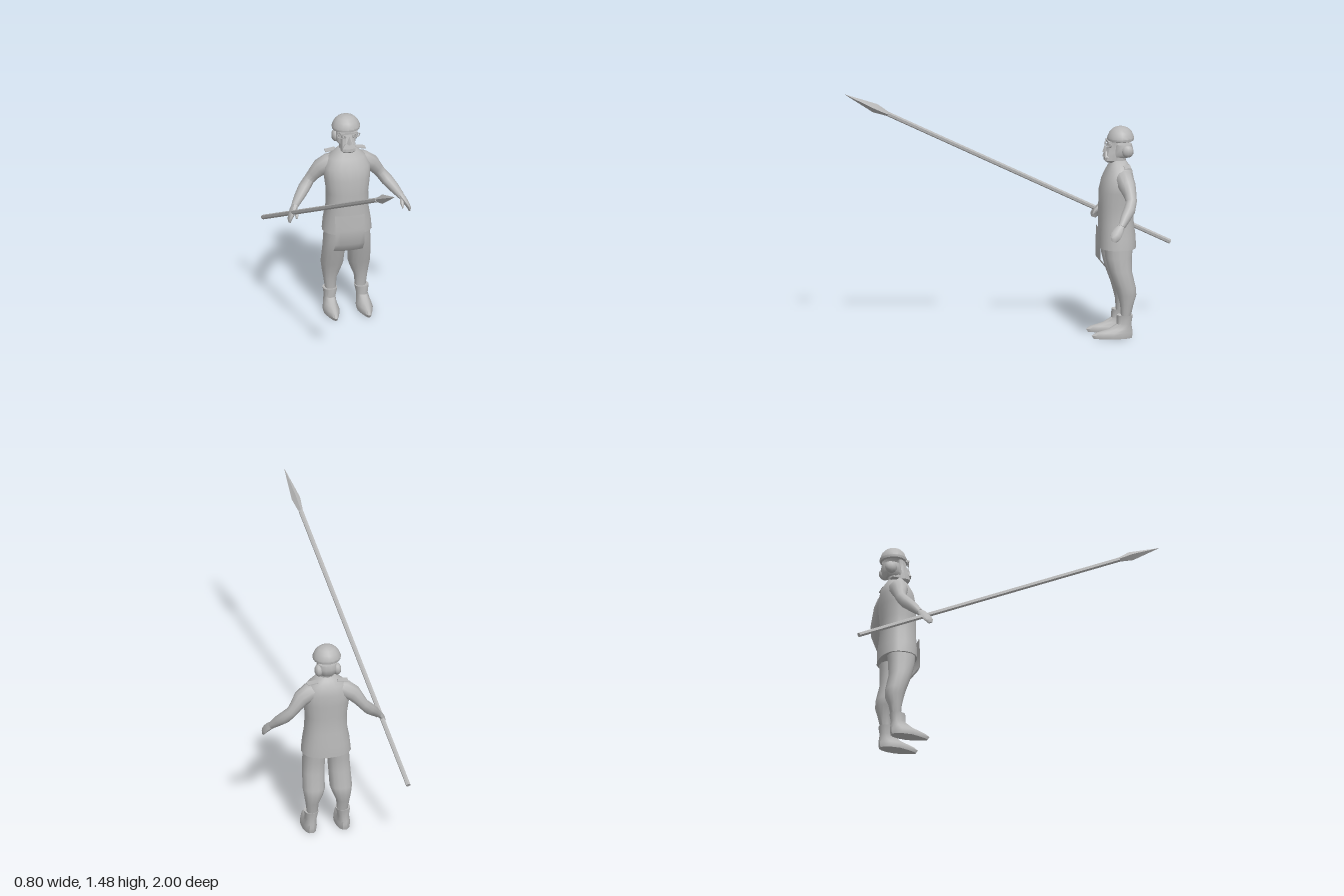
import * as THREE from 'three';
import { toCreasedNormals } from 'three/addons/utils/BufferGeometryUtils.js';

const grey = new THREE.MeshStandardMaterial({ color: 0xb8b8b8, side: THREE.DoubleSide });
grey.name = 'plain grey';
const V = (x, y, z) => new THREE.Vector3(x, y, z);

// Skin over a stack of rings, closed at chosen ends
function loft(rings, { bottom = true, top = true, crease = 0.8 } = {}) {
  const n = rings[0].length, pos = [], idx = [];
  rings.forEach(r => r.forEach(p => pos.push(p.x, p.y, p.z)));
  for (let i = 0; i < rings.length - 1; i++) {
    for (let j = 0; j < n; j++) {
      const a = i * n + j, b = i * n + (j + 1) % n;
      idx.push(a, a + n, b, b, a + n, b + n);
    }
  }
  const cap = (k, flip) => {
    const c = rings[k].reduce((s, p) => s.add(p), V(0, 0, 0)).divideScalar(n);
    const m = pos.length / 3;
    pos.push(c.x, c.y, c.z);
    for (let j = 0; j < n; j++) {
      const a = k * n + j, b = k * n + (j + 1) % n;
      idx.push(m, flip ? b : a, flip ? a : b);
    }
  };
  if (bottom) cap(0, false);
  if (top) cap(rings.length - 1, true);
  const g = new THREE.BufferGeometry();
  g.setAttribute('position', new THREE.Float32BufferAttribute(pos, 3));
  g.setIndex(idx);
  return toCreasedNormals(g, crease);
}

// Level ring: centre x, half width, height, back z, front z; point narrows the front
function level([cx, hw, y, z0, z1], { n = 16, power = 0.85, point = 0 } = {}) {
  const bend = t => Math.sign(t) * Math.abs(t) ** power;
  return Array.from({ length: n }, (_, j) => {
    const a = j / n * Math.PI * 2, s = bend(Math.sin(a));
    const narrow = 1 - point * Math.max(0, s);
    return V(cx + hw * bend(Math.cos(a)) * narrow, y, (z0 + z1) / 2 + s * (z1 - z0) / 2);
  });
}

// Rings square to a path of [x, y, z, radius, flatness]
function along(path, n = 10) {
  const pts = path.map(p => V(p[0], p[1], p[2]));
  return pts.map((p, i) => {
    const d = pts[Math.min(i + 1, pts.length - 1)].clone().sub(pts[Math.max(i - 1, 0)]).normalize();
    const u = d.clone().cross(V(0, 0, 1)).normalize(), v = u.clone().cross(d);
    const [, , , r, flat = 1] = path[i];
    return Array.from({ length: n }, (_, j) => {
      const a = j / n * Math.PI * 2;
      return p.clone().addScaledVector(u, r * flat * Math.cos(a)).addScaledVector(v, r * Math.sin(a));
    });
  });
}

export function createModel() {
  const model = new THREE.Group();
  model.name = 'spearman';
  const body = new THREE.Group();
  body.name = 'man';
  body.position.x = 0.028;
  model.add(body);
  const add = (name, geo, parent = body) => {
    const m = new THREE.Mesh(geo, grey);
    m.name = name;
    parent.add(m);
    return m;
  };

  // Tunic with a flared hem
  add('tunic', loft([
    [0, 0.148, 0.53, -0.717, -0.497], [0, 0.141, 0.6, -0.715, -0.497],
    [0, 0.127, 0.68, -0.705, -0.5], [0, 0.125, 0.78, -0.7, -0.5],
    [0, 0.137, 0.87, -0.707, -0.503], [0, 0.14, 0.94, -0.705, -0.52],
    [0, 0.112, 0.995, -0.695, -0.545], [0, 0.07, 1.03, -0.672, -0.562],
    [0, 0.045, 1.05, -0.66, -0.57],
  ].map(r => level(r, { n: 20 }))));

  // Hanging front cloth that folds back at its lower edge
  const cloth = new THREE.PlaneGeometry(0.176, 1, 6, 3);
  const drop = [[0.655, -0.492], [0.56, -0.487], [0.47, -0.487], [0.41, -0.535]];
  const cp = cloth.attributes.position;
  for (let i = 0; i < cp.count; i++) {
    const [y, z] = drop[Math.floor(i / 7)], x = cp.getX(i);
    cp.setXYZ(i, x - 0.006, y, z - x * x * 1.2);
  }
  cloth.computeVertexNormals();
  add('frontCloth', cloth);

  // Limbs, mirrored side to side
  for (const [side, s] of [['left', 1], ['right', -1]]) {
    const flip = path => path.map(([x, ...rest]) => [s * x, ...rest]);
    add(side + 'Arm', loft(along(flip([
      [0.05, 0.962, -0.63, 0.052], [0.105, 0.948, -0.635, 0.056], [0.155, 0.917, -0.645, 0.05],
      [0.19, 0.873, -0.655, 0.038], [0.215, 0.84, -0.658, 0.033], [0.25, 0.797, -0.64, 0.036],
      [0.285, 0.757, -0.61, 0.031], [0.321, 0.712, -0.58, 0.021],
    ]))));
    add(side + 'Hand', loft(along(flip([
      [0.314, 0.72, -0.585, 0.02], [0.333, 0.697, -0.565, 0.03, 0.6], [0.35, 0.67, -0.545, 0.032, 0.45],
      [0.36, 0.65, -0.535, 0.027, 0.4], [0.362, 0.633, -0.53, 0.014, 0.45],
    ]), 8)));
    add(side + 'Thumb', loft(along(flip([
      [0.322, 0.705, -0.56, 0.012], [0.318, 0.68, -0.535, 0.012], [0.321, 0.658, -0.52, 0.006],
    ]), 6)));
    // Thin collar plate lying on the shoulder
    const plate = add(side + 'CollarPlate', new THREE.BoxGeometry(0.065, 0.005, 0.04));
    plate.position.set(s * 0.09, 1.022, -0.655);
    plate.rotation.z = -s * 0.15;

    add(side + 'Leg', loft([
      [0.07, 0.065, 0.12, -0.675, -0.615], [0.09, 0.032, 0.13, -0.675, -0.617],
      [0.092, 0.04, 0.2, -0.69, -0.612], [0.085, 0.056, 0.255, -0.708, -0.598],
      [0.081, 0.067, 0.3, -0.705, -0.585], [0.078, 0.066, 0.4, -0.682, -0.548],
      [0.073, 0.066, 0.48, -0.684, -0.527], [0.068, 0.067, 0.56, -0.69, -0.52],
    ].slice(1).map(([x, ...r]) => level([s * x, ...r], { n: 14 }))));

    // Boot with a pointed toe and open cuff
    add(side + 'Boot', loft([
      [0.1, 0.044, 0, -0.68, -0.45, 0.55], [0.1, 0.047, 0.018, -0.684, -0.438, 0.6],
      [0.1, 0.043, 0.035, -0.684, -0.465, 0.55], [0.1, 0.038, 0.055, -0.682, -0.54, 0.3],
      [0.097, 0.034, 0.085, -0.677, -0.59, 0.1], [0.095, 0.043, 0.137, -0.685, -0.592, 0],
      [0.093, 0.031, 0.133, -0.673, -0.605, 0],
    ].map(([x, hw, y, a, b, point]) => level([s * x, hw, y, a, b], { n: 14, point }))));

    // Hair bunched beside the ear
    const hair = add(side + 'Hair', new THREE.SphereGeometry(1, 10, 8));
    hair.scale.set(0.025, 0.037, 0.036);
    hair.position.set(s * 0.055, 1.108, -0.663);
    // Eyepiece frame
    const eye = add(side + 'Eyepiece', new THREE.TorusGeometry(0.022, 0.004, 5, 8));
    eye.scale.set(1.2, 0.6, 1);
    eye.rotation.y = s * 0.45;
    eye.position.set(s * 0.045, 1.148, -0.553);
  }

  // Neck and the back of the head
  add('neck', loft([
    [0, 0.05, 1.02, -0.665, -0.565], [0, 0.043, 1.06, -0.66, -0.565], [0, 0.045, 1.09, -0.67, -0.56],
  ].map(r => level(r, { n: 12 }))));
  add('backOfHead', loft([
    [0, 0.04, 1.065, -0.675, -0.57], [0, 0.058, 1.085, -0.693, -0.58],
    [0, 0.062, 1.12, -0.702, -0.585], [0, 0.056, 1.146, -0.695, -0.59],
  ].map(r => level(r, { n: 14 }))));

  // Face with jutting chin
  add('face', loft([
    [0, 0.036, 1.04, -0.6, -0.545], [0, 0.046, 1.052, -0.61, -0.53], [0, 0.045, 1.085, -0.62, -0.532],
    [0, 0.044, 1.1, -0.62, -0.54], [0, 0.04, 1.135, -0.61, -0.55], [0, 0.042, 1.175, -0.61, -0.562],
  ].map(r => level(r, { n: 10, power: 0.7 })), { crease: 0.4 }));
  const nose = add('nose', toCreasedNormals(new THREE.ConeGeometry(0.018, 0.05, 4), 0.3));
  nose.scale.z = 0.9;
  nose.position.set(0, 1.125, -0.537);
  const moustache = add('moustache', toCreasedNormals(new THREE.CylinderGeometry(0.025, 0.048, 0.03, 6), 0.4));
  moustache.scale.z = 0.45;
  moustache.position.set(0, 1.09, -0.542);
  const brow = add('brow', new THREE.BoxGeometry(0.105, 0.012, 0.02));
  brow.position.set(0, 1.164, -0.558);

  // Domed cap with a bulging band
  const cap = add('cap', toCreasedNormals(new THREE.LatheGeometry([
    [0.07, 1.164], [0.082, 1.168], [0.085, 1.183], [0.078, 1.2], [0.07, 1.218],
    [0.05, 1.238], [0.026, 1.248], [0, 1.251],
  ].map(p => new THREE.Vector2(...p)), 16), 0.6));
  cap.scale.z = 0.95;
  cap.position.z = -0.63;

  // Spear: shaft and leaf-shaped blade set along one axis
  const spear = new THREE.Group();
  spear.name = 'spear';
  const butt = V(-0.387, 0.457, -0.995), tip = V(-0.053, 1.482, 1);
  const axis = tip.clone().sub(butt), length = axis.length();
  spear.position.copy(butt);
  spear.quaternion.setFromUnitVectors(V(0, 1, 0), axis.normalize());
  model.add(spear);
  const shaftLength = length - 0.3;
  const shaft = add('shaft', toCreasedNormals(new THREE.CylinderGeometry(0.014, 0.014, shaftLength, 6), 0.4), spear);
  shaft.position.y = shaftLength / 2;
  add('blade', loft([
    [0, 0.012, shaftLength - 0.01, -0.012, 0.012], [0, 0.026, shaftLength + 0.09, -0.028, 0.028],
    [0, 0.001, length, -0.001, 0.001],
  ].map(r => level(r, { n: 4, power: 1 })), { crease: 0.2 }), spear);

  return model;
}
